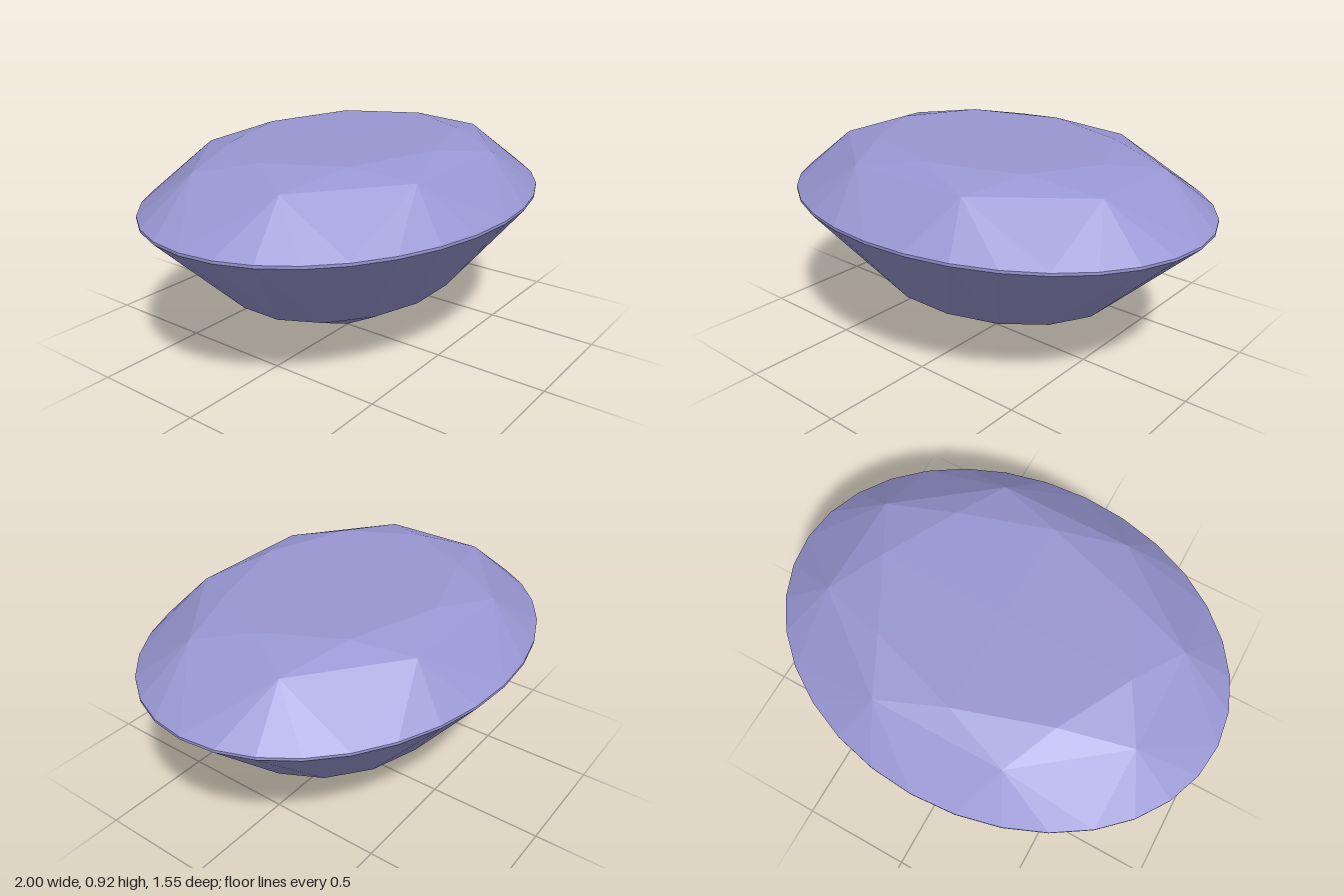
import * as THREE from 'three';

const DEPTH = 0.775; // oval ratio, z to x
const CORE = new THREE.Vector3(0, 0.6, 0);

// ring of n points on an oval; offset is a fraction of one step
function ring(n, radius, y, offset = 0) {
  return Array.from({ length: n }, (_, i) => {
    const a = ((i + offset) / n) * Math.PI * 2;
    return new THREE.Vector3(radius * Math.cos(a), y, radius * DEPTH * Math.sin(a));
  });
}

// mesh of flat facets, each turned to face away from the core
function facetMesh(name, triangles, material) {
  const points = [];
  for (const [a, b, c] of triangles) {
    const normal = b.clone().sub(a).cross(c.clone().sub(a));
    const outward = normal.dot(a.clone().sub(CORE)) > 0;
    points.push(...(outward ? [a, b, c] : [a, c, b]));
  }
  const geometry = new THREE.BufferGeometry().setFromPoints(points);
  geometry.computeVertexNormals();
  const mesh = new THREE.Mesh(geometry, material);
  mesh.name = name;
  return mesh;
}

export function createModel() {
  const gem = new THREE.MeshStandardMaterial({ color: 0x9896d2 });
  gem.name = 'violet gem';

  const table = ring(8, 0.57, 0.915);
  const breaks = ring(8, 0.765, 0.866, 0.5);
  const upper = ring(32, 1, 0.682);
  const lower = ring(32, 1, 0.67);
  const waist = ring(16, 0.6, 0.282, 0.5);
  const tableCentre = new THREE.Vector3(0, 0.915, 0);
  const culet = new THREE.Vector3(0, 0, 0);

  const tableFacets = [], crown = [], girdle = [], pavilion = [];

  // flat table, star facets, kites and upper girdle fans
  for (let i = 0; i < 8; i++) {
    const j = (i + 1) % 8;
    tableFacets.push([tableCentre, table[i], table[j]]);
    crown.push([table[i], table[j], breaks[i]]);
    crown.push([table[j], breaks[i], breaks[j]]);
    crown.push([breaks[i], breaks[j], upper[j * 4]]);
    for (let k = 0; k < 4; k++) {
      crown.push([breaks[i], upper[i * 4 + k], upper[(i * 4 + k + 1) % 32]]);
    }
  }

  // thin band around the widest line
  for (let i = 0; i < 32; i++) {
    const j = (i + 1) % 32;
    girdle.push([upper[i], upper[j], lower[i]], [upper[j], lower[j], lower[i]]);
  }

  // lower facets down to the waist, then to the point
  for (let i = 0; i < 16; i++) {
    const j = (i + 1) % 16;
    const g = i * 2;
    pavilion.push([waist[i], lower[g], lower[g + 1]]);
    pavilion.push([waist[i], lower[g + 1], lower[(g + 2) % 32]]);
    pavilion.push([waist[i], waist[j], lower[(g + 2) % 32]]);
    pavilion.push([waist[i], waist[j], culet]);
  }

  const group = new THREE.Group();
  group.name = 'ovalGem';
  group.add(
    facetMesh('table', tableFacets, gem),
    facetMesh('crown', crown, gem),
    facetMesh('girdle', girdle, gem),
    facetMesh('pavilion', pavilion, gem)
  );
  return group;
}
